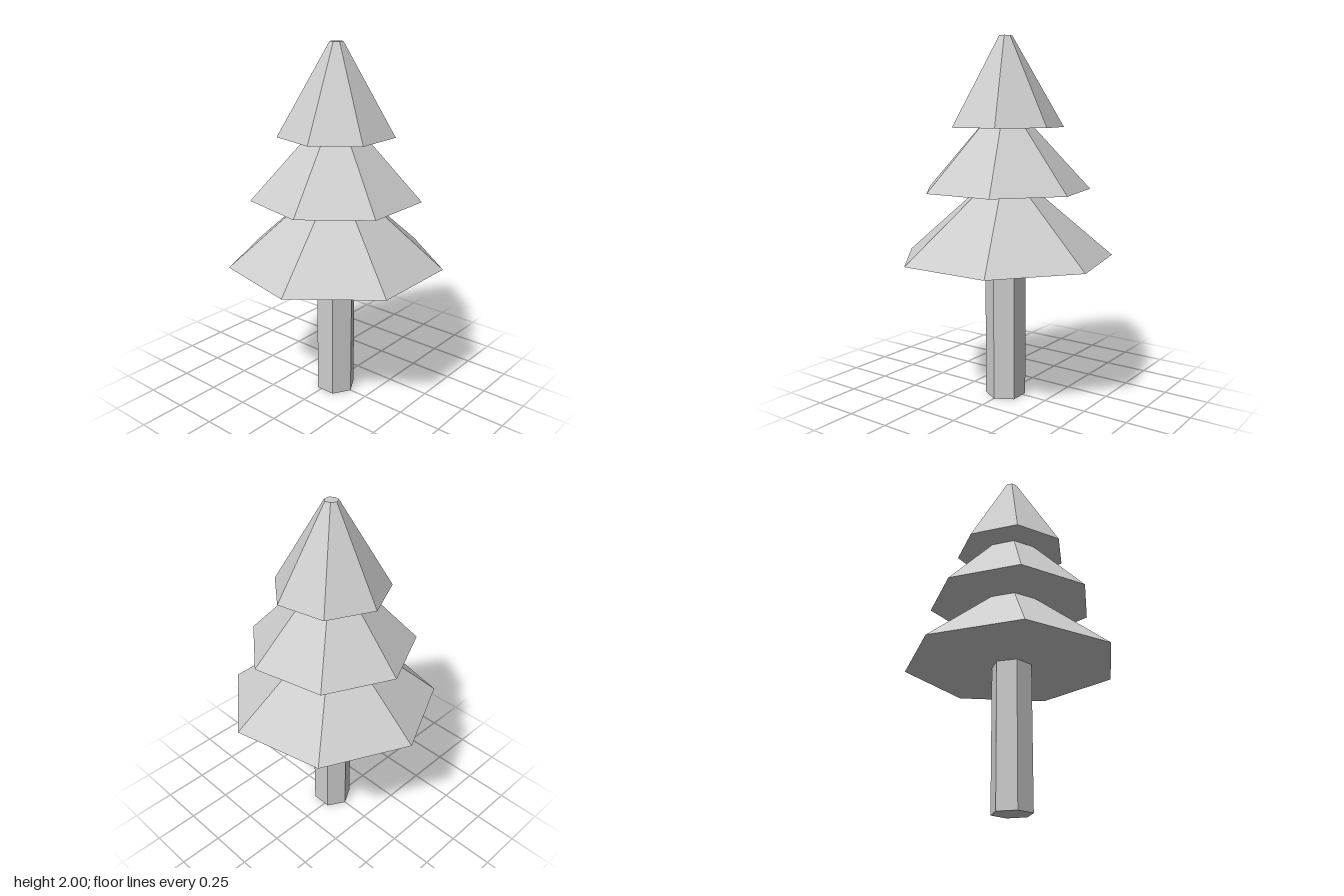
import * as THREE from 'three';

const AXIS_Z = 0.03; // the seven-sided tiers reach further forward on one side

export function createModel() {
  const tree = new THREE.Group();
  tree.name = 'pineTree';
  const grey = new THREE.MeshStandardMaterial({ color: 0xcccccc, flatShading: true });
  grey.name = 'light grey';

  // Closed faceted frustum between two heights
  const frustum = (name, sides, rBottom, rTop, y0, y1, start) => {
    const geometry = new THREE.CylinderGeometry(rTop, rBottom, y1 - y0, sides, 1, false, start);
    const mesh = new THREE.Mesh(geometry, grey);
    mesh.name = name;
    mesh.position.set(0, (y0 + y1) / 2, AXIS_Z);
    tree.add(mesh);
  };

  // Hexagonal trunk
  frustum('trunk', 6, 0.113, 0.113, 0, 0.8, 0);

  // Heptagonal foliage tiers, one corner pointing to the back
  frustum('lowerFoliage', 7, 0.6, 0.16, 0.8, 1.175, Math.PI);
  frustum('middleFoliage', 7, 0.47, 0.155, 1.175, 1.515, Math.PI);
  frustum('upperFoliage', 7, 0.32, 0.037, 1.515, 2, Math.PI);

  return tree;
}
